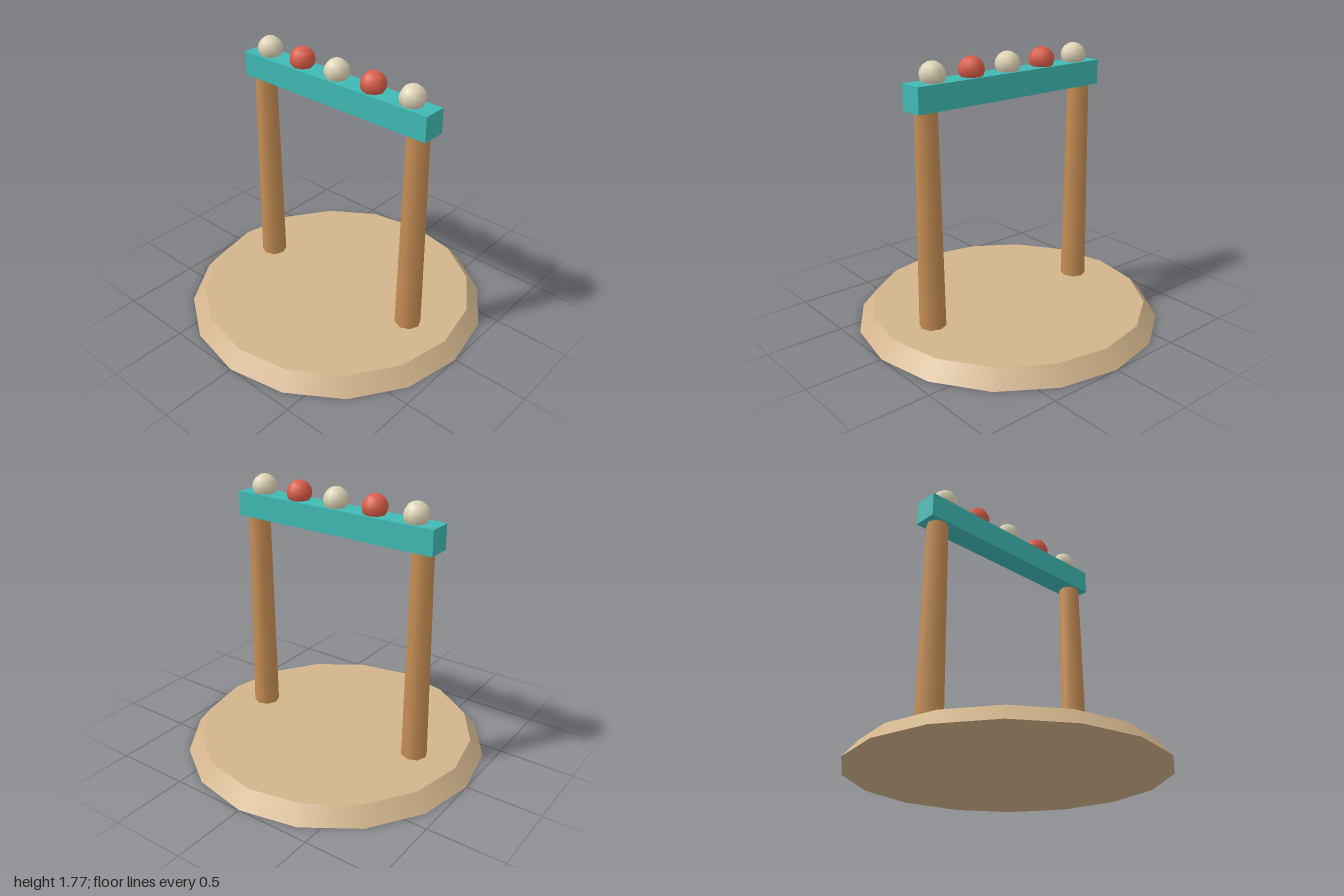
import * as THREE from 'three';

const material = (name, color) => {
  const m = new THREE.MeshStandardMaterial({ color });
  m.name = name;
  return m;
};

export function createModel() {
  const group = new THREE.Group();
  const sand = material('sand', 0xd2b48c);
  const wood = material('wood', 0xc68e54);
  const teal = material('teal', 0x40bab4);
  const cream = material('cream', 0xded4b6);
  const red = material('red', 0xda5c48);

  const add = (name, geometry, mat, x, y) => {
    const mesh = new THREE.Mesh(geometry, mat);
    mesh.name = name;
    mesh.position.set(x, y, 0);
    group.add(mesh);
  };

  // Round bevelled base
  add('base', new THREE.CylinderGeometry(0.913, 1, 0.105, 16), sand, 0, 0.0525);

  // Two tapered posts
  const post = new THREE.CylinderGeometry(0.07, 0.086, 1.4, 8);
  add('leftPost', post, wood, 0.617, 0.79);
  add('rightPost', post, wood, -0.617, 0.79);

  // Crossbeam resting on the posts
  add('crossbeam', new THREE.BoxGeometry(1.44, 0.16, 0.157), teal, 0, 1.563);

  // Row of alternating balls sunk slightly into the beam
  const ball = new THREE.SphereGeometry(0.081, 8, 8);
  for (let i = -2; i <= 2; i++) {
    add(`ball${i + 3}`, ball, i % 2 ? red : cream, i * 0.282, 1.685);
  }
  return group;
}
